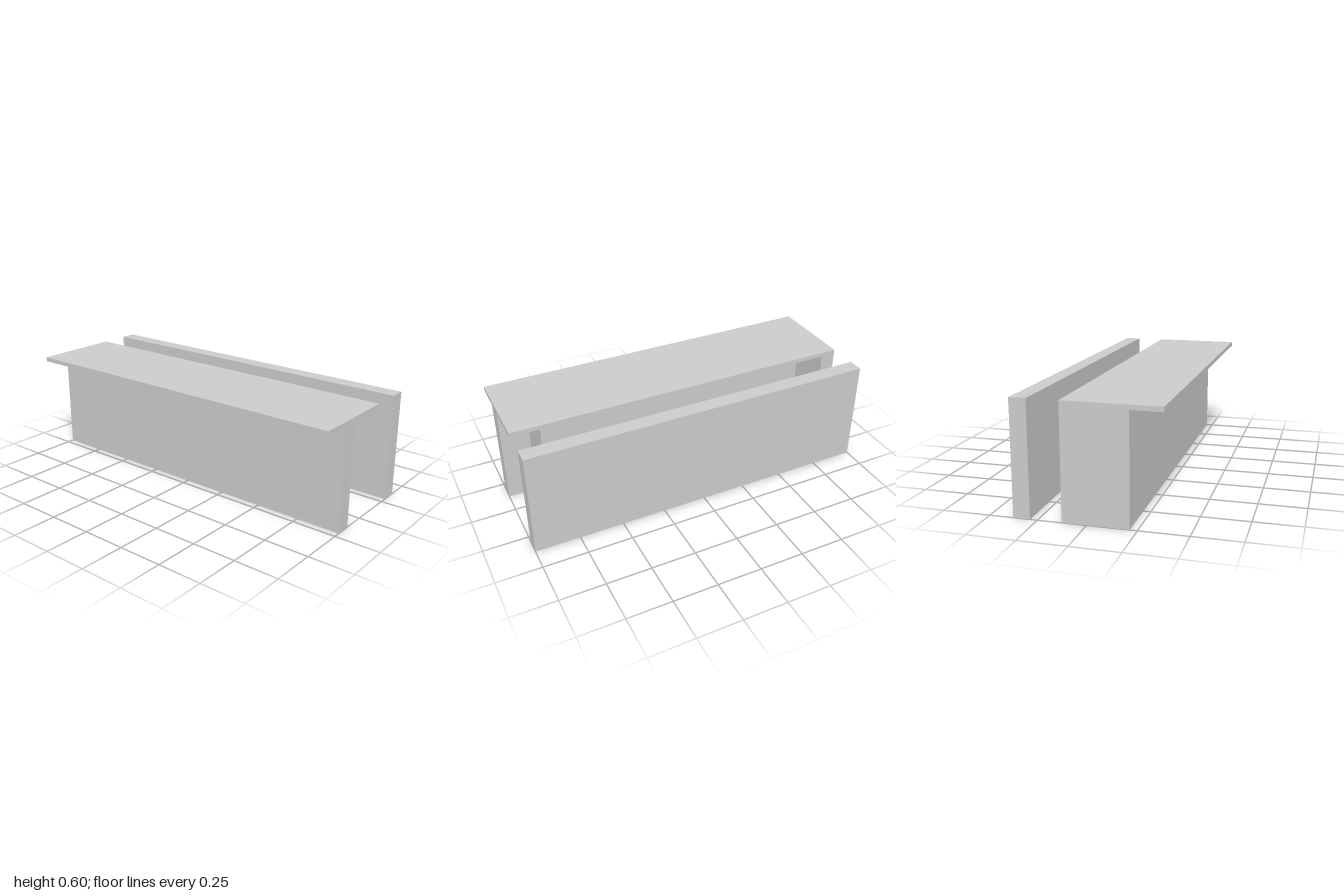
import * as THREE from 'three';

export function createModel() {
  const group = new THREE.Group();
  const material = new THREE.MeshStandardMaterial({ color: 0xcccccc });

  // Box given by its min and max along each axis
  function addBox(name, [x0, x1], [y0, y1], [z0, z1]) {
    const geometry = new THREE.BoxGeometry(x1 - x0, y1 - y0, z1 - z0);
    const mesh = new THREE.Mesh(geometry, material);
    mesh.name = name;
    mesh.position.set((x0 + x1) / 2, (y0 + y1) / 2, (z0 + z1) / 2);
    group.add(mesh);
  }

  const thickness = 0.0875;
  const full = [-1, 1];
  const underTop = [0, 0.575];

  // Thin top overhanging the front panel
  addBox('counterTop', full, [0.575, 0.6], [-0.125, 0.375]);
  addBox('frontPanel', full, underTop, [0.125, 0.125 + thickness]);

  // Supports behind the panel: one flush with the right end, one set in from the left
  addBox('rightSupport', [-1, -1 + thickness], underTop, [-0.125, 0.125]);
  addBox('leftSupport', [0.75, 0.75 + thickness], underTop, [-0.125, 0.125]);

  // Separate wall at the back
  addBox('backWall', full, [0, 0.6], [-0.375, -0.375 + thickness]);

  return group;
}
